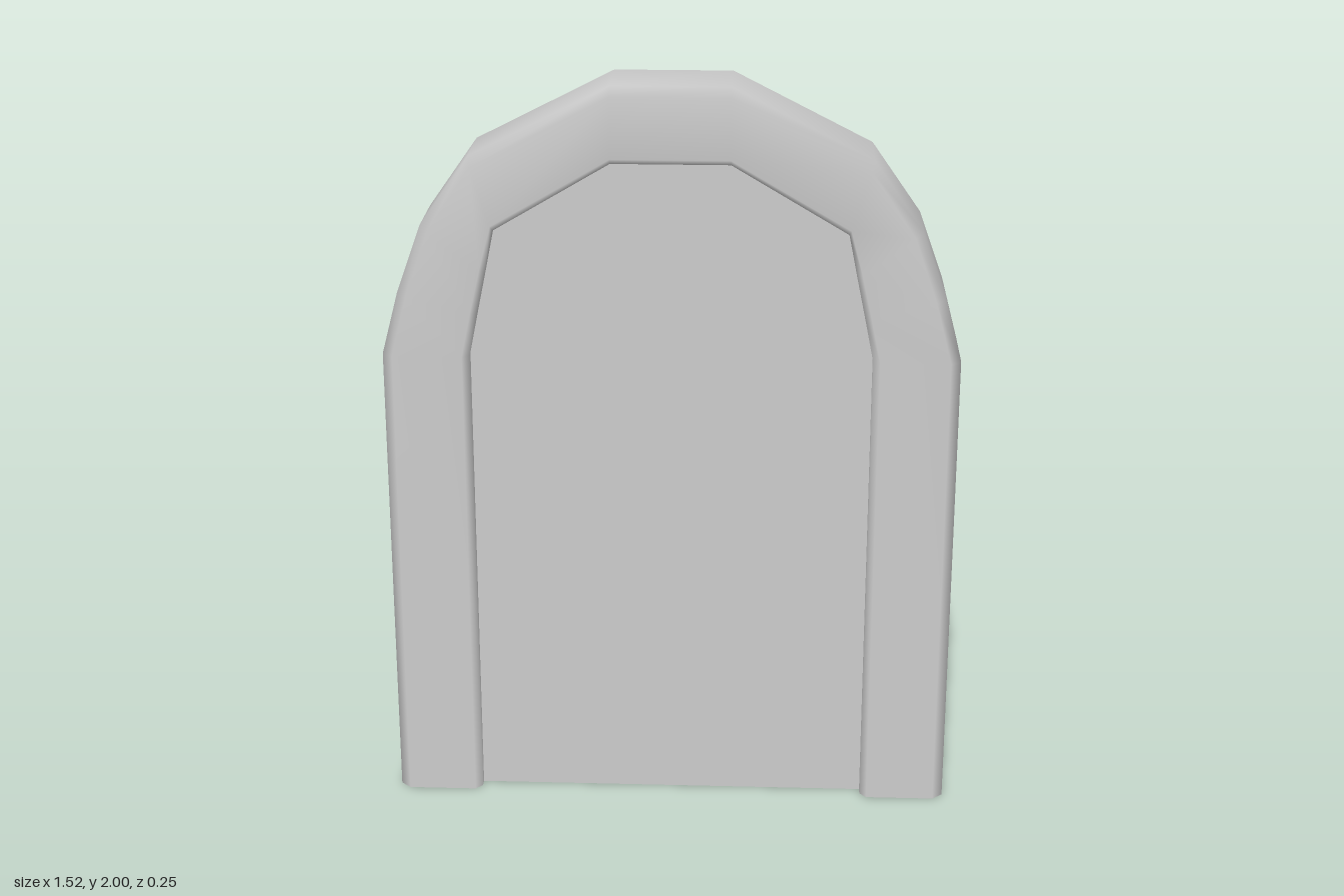
import * as THREE from 'three';

const material = new THREE.MeshStandardMaterial({ color: 0xcccccc });

// Right half of the arch, from the foot to the crown: [outerX, outerY, innerX, innerY]
const half = [
  [0.76, 0, 0.53, 0],
  [0.76, 1.28, 0.53, 1.28],
  [0.715, 1.45, 0.507, 1.393],
  [0.65, 1.63, 0.483, 1.507],
  [0.52, 1.815, 0.46, 1.62],
  [0.155, 2, 0.155, 1.8],
];
const arch = [...half, ...half.map(([ox, oy, ix, iy]) => [-ox, oy, -ix, iy]).reverse()];

// Frame section: [share of the way from outer to inner edge, z]
const front = [[1, 0.07], [1, 0.105], [0.92, 0.125], [0.12, 0.125], [0, 0.1]];
const section = [...front, ...front.map(([t, z]) => [t, -z]).reverse()];

// Bevelled section swept along the arch
function frameGeometry() {
  const positions = [], index = [], n = section.length;
  arch.forEach(([ox, oy, ix, iy], i) => {
    section.forEach(([t, z], j) => {
      positions.push(ox + (ix - ox) * t, oy + (iy - oy) * t, z);
      if (i < arch.length - 1 && j < n - 1) {
        const a = i * n + j, b = a + 1, c = a + n, d = c + 1;
        index.push(a, b, c, b, d, c);
      }
    });
  });
  const geometry = new THREE.BufferGeometry();
  geometry.setAttribute('position', new THREE.Float32BufferAttribute(positions, 3));
  geometry.setIndex(index);
  geometry.computeVertexNormals();
  return geometry;
}

// Flat underside of one foot of the frame
function footGeometry(side) {
  const points = section.map(([t, z]) => new THREE.Vector2(side * (0.76 - 0.23 * t), z));
  return new THREE.ShapeGeometry(new THREE.Shape(points)).rotateX(Math.PI / 2);
}

export function createModel() {
  const model = new THREE.Group();
  model.name = 'archedDoor';
  const add = (name, geometry) => {
    const mesh = new THREE.Mesh(geometry, material);
    mesh.name = name;
    model.add(mesh);
  };

  add('frame', frameGeometry());
  add('leftFoot', footGeometry(1));
  add('rightFoot', footGeometry(-1));

  // Recessed panel, the same on both faces
  const outline = new THREE.Shape(arch.map(([, , x, y]) => new THREE.Vector2(x, y)));
  add('panel', new THREE.ExtrudeGeometry(outline, { depth: 0.16, bevelEnabled: false }).translate(0, 0, -0.08));

  return model;
}
